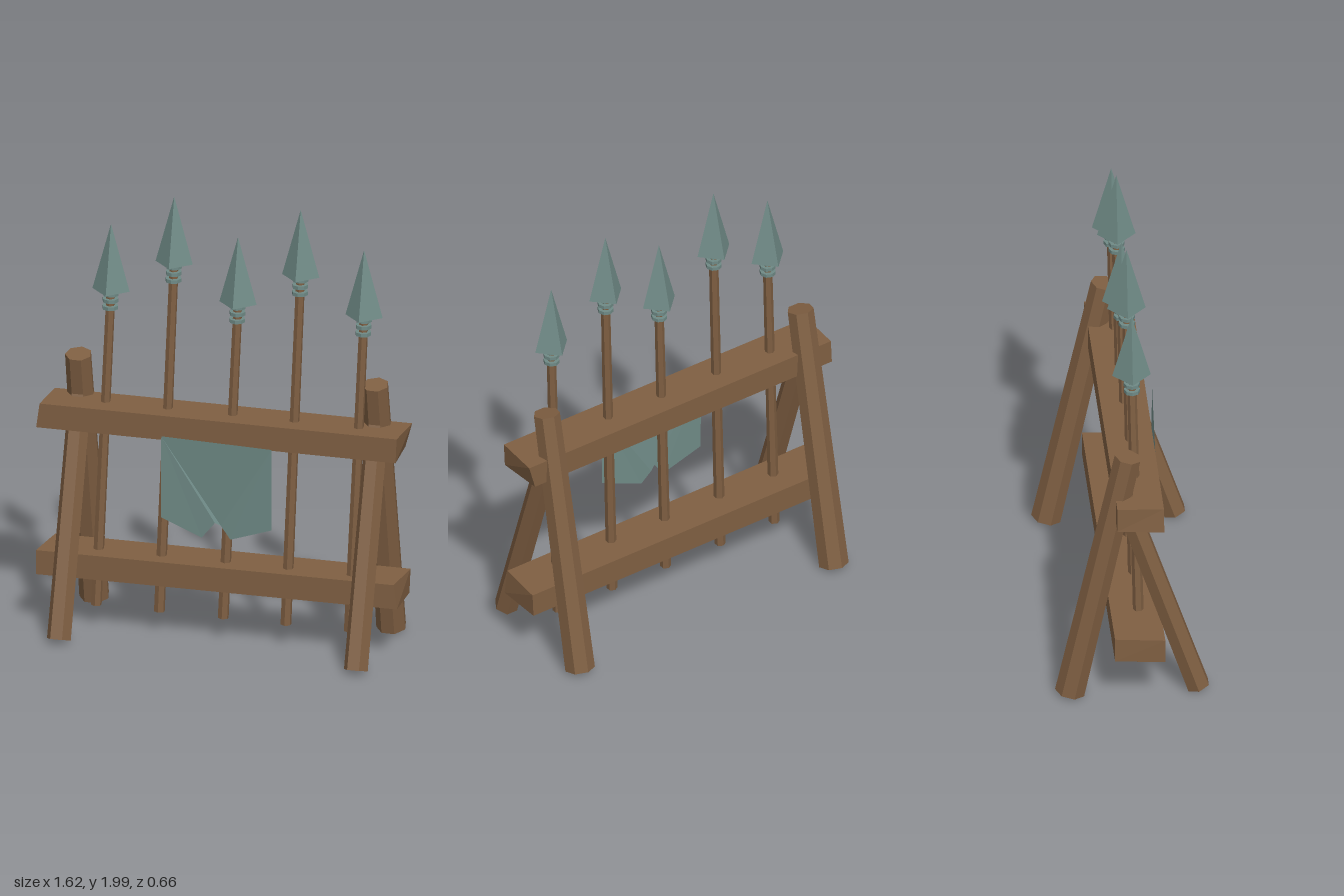
import * as THREE from 'three';

const wood = new THREE.MeshStandardMaterial({ color: 0x7f5f42 });
wood.name = 'wood';
const teal = new THREE.MeshStandardMaterial({ color: 0x6f8a86, side: THREE.DoubleSide });
teal.name = 'weathered teal';

// Faceted mesh: unshared corners give every face its own normal
function facet(name, geometry, material) {
  const flat = geometry.index ? geometry.toNonIndexed() : geometry;
  flat.computeVertexNormals();
  const mesh = new THREE.Mesh(flat, material);
  mesh.name = name;
  return mesh;
}

// Tapered pole between two points
function pole(name, from, to, rFrom, rTo, sides, turn, material) {
  const a = new THREE.Vector3(...from), b = new THREE.Vector3(...to);
  const dir = b.clone().sub(a);
  const mesh = facet(name, new THREE.CylinderGeometry(rTo, rFrom, dir.length(), sides, 1, false, turn), material);
  mesh.position.copy(a).add(b).multiplyScalar(0.5);
  mesh.quaternion.setFromUnitVectors(new THREE.Vector3(0, 1, 0), dir.normalize());
  return mesh;
}

// Rough-hewn beam: a box with slightly skewed ends.
// ends: x of left and right end as [bottomBack, bottomFront, topBack, topFront]
function beam(name, y0, y1, ends, zLeft, zRight) {
  const geo = new THREE.BoxGeometry(1, 1, 1);
  const p = geo.attributes.position;
  for (let i = 0; i < p.count; i++) {
    const right = p.getX(i) > 0 ? 1 : 0, top = p.getY(i) > 0 ? 1 : 0, front = p.getZ(i) > 0 ? 1 : 0;
    p.setXYZ(i, ends[right][top * 2 + front], top ? y1 : y0, (right ? zRight : zLeft)[front]);
  }
  return facet(name, geo, wood);
}

// Spear: leaning shaft, three binding rings, upright four-sided head
function spear(x, baseY) {
  const g = new THREE.Group();
  g.name = 'spear';
  const foot = new THREE.Vector3(x, 0.1, 0.043), top = new THREE.Vector3(x + 0.057, baseY, 0.012);
  g.add(pole('shaft', foot.toArray(), top.toArray(), 0.024, 0.02, 6, 0, wood));
  for (const drop of [0.015, 0.045, 0.077]) {
    const ring = facet('bindingRing', new THREE.CylinderGeometry(0.035, 0.035, 0.016, 8), teal);
    ring.position.copy(top).lerp(foot, drop / (baseY - 0.1));
    g.add(ring);
  }
  const head = facet('spearHead', new THREE.ConeGeometry(0.083, 0.303, 4), teal);
  head.position.set(top.x, baseY + 0.1515, top.z);
  g.add(head);
  return g;
}

// Creased cloth with a swallow-tail hem and a pronged motif
function banner() {
  const g = new THREE.Group();
  g.name = 'banner';
  const A = [-0.25, 0.94, 0.135], B = [-0.25, 0.57, 0.14], C = [-0.065, 0.5, 0.15], D = [-0.005, 0.575, 0.155];
  const E = [0.015, 0.555, 0.13], F = [0.06, 0.5, 0.14], G = [0.25, 0.57, 0.16], H = [0.25, 0.94, 0.16];
  const faces = [A, B, C, A, C, D, A, D, E, A, E, H, E, F, H, F, G, H];
  const geo = new THREE.BufferGeometry();
  geo.setAttribute('position', new THREE.Float32BufferAttribute(faces.flat(), 3));
  g.add(facet('cloth', geo, teal));

  const half = [[0.024, 0.665], [0.07, 0.7], [0.095, 0.8], [0.042, 0.76], [0.022, 0.77]];
  const outline = [[0, 0.6], ...half, [0, 0.85], ...half.map(([x, y]) => [-x, y]).reverse()];
  const motif = new THREE.ShapeGeometry(new THREE.Shape(outline.map(([x, y]) => new THREE.Vector2(x, y))));
  const p = motif.attributes.position;
  for (let i = 0; i < p.count; i++) {
    p.setZ(i, 0.138 + 0.05 * (p.getX(i) + 0.25) + 0.047 * (p.getY(i) - 0.94));
  }
  g.add(facet('prongedMotif', motif, teal));
  return g;
}

export function createModel() {
  const model = new THREE.Group();
  model.name = 'spearRack';

  // Crossed legs at each end
  for (const x of [-0.663, 0.663]) {
    model.add(pole('backLeg', [x, 0.018, -0.264], [x, 1.22, -0.015], 0.066, 0.058, 7, Math.PI, wood));
    model.add(pole('frontLeg', [x, 0.02, 0.287], [x, 1.045, -0.045], 0.053, 0.05, 6, Math.PI / 6, wood));
  }

  // Cross beams
  model.add(beam('topBeam', 0.92, 1.03,
    [[-0.79, -0.81, -0.785, -0.795], [0.775, 0.79, 0.805, 0.795]], [-0.07, 0.13], [-0.09, 0.115]));
  model.add(beam('bottomBeam', 0.247, 0.357,
    [[-0.79, -0.81, -0.785, -0.81], [0.79, 0.795, 0.795, 0.78]], [-0.08, 0.135], [-0.1, 0.11]));

  // Spears, alternating short and tall
  [-0.567, -0.285, 0, 0.28, 0.563].forEach((x, i) => model.add(spear(x, i % 2 ? 1.695 : 1.54)));

  model.add(banner());
  return model;
}
